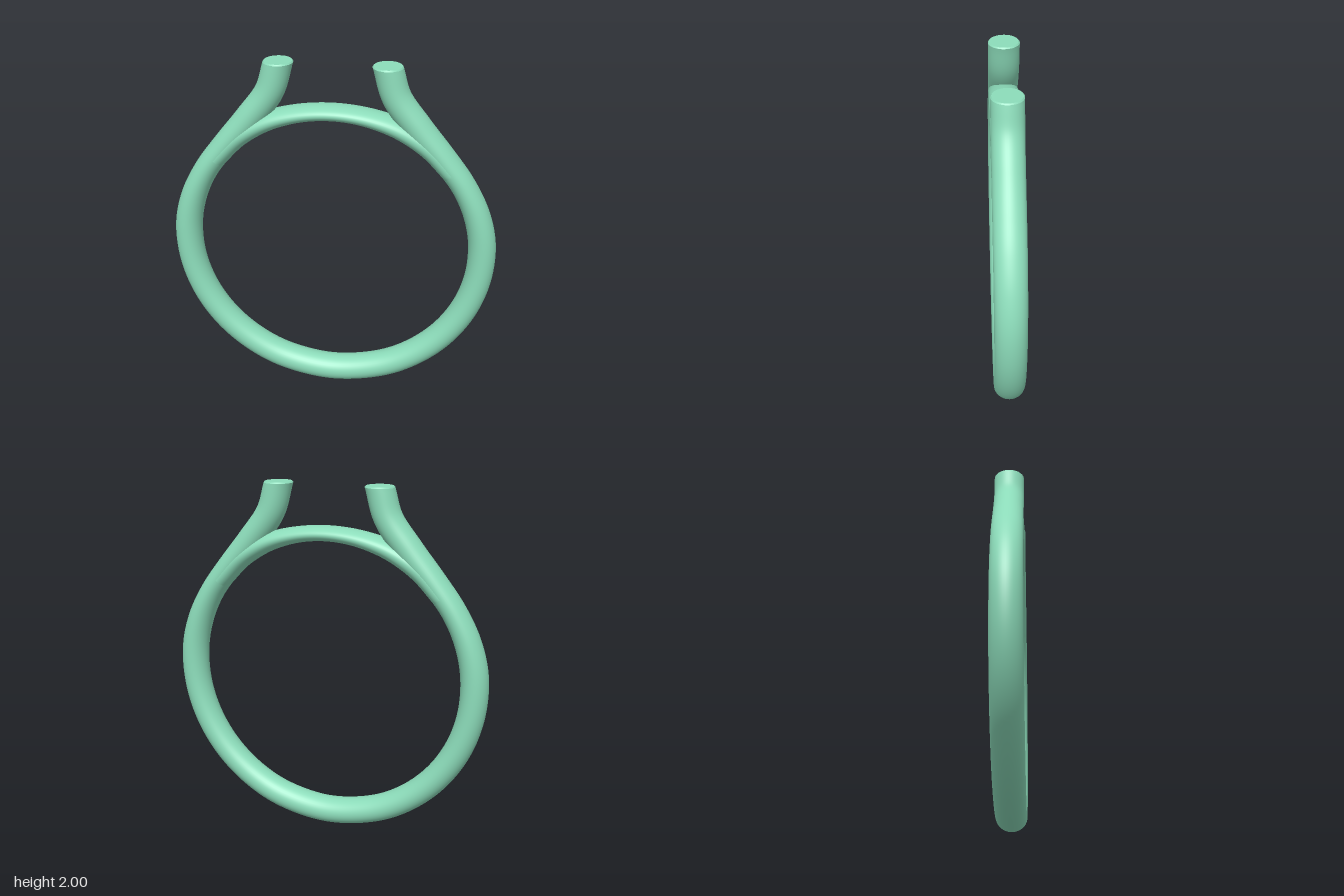
import * as THREE from 'three';

const CENTRE_Y = 0.92; // centre of the ring
const DEPTH = 0.085; // half depth along z of every section
const SIDES = 40;

const polar = (deg, radius, half) => {
  const a = THREE.MathUtils.degToRad(deg);
  return new THREE.Vector3(radius * Math.cos(a), CENTRE_Y + radius * Math.sin(a), half);
};
const mirror = (p) => new THREE.Vector3(-p.x, p.y, p.z);

// Sweeps an ellipse clockwise along a path whose z stores the half thickness.
function sweep(points, steps, levelEnds) {
  const curve = new THREE.CatmullRomCurve3(points, false, 'centripetal');
  const positions = [], index = [];
  for (let i = 0; i <= steps; i++) {
    const u = i / steps;
    const p = curve.getPointAt(u), t = curve.getTangentAt(u);
    const n = new THREE.Vector2(-t.y, t.x).normalize();
    if (levelEnds) {
      // turn the sections level towards the tips
      const w = 1 - THREE.MathUtils.smoothstep(Math.min(u, 1 - u), 0, 0.03);
      n.lerp(new THREE.Vector2(Math.sign(p.x), 0), w).normalize();
    }
    for (let j = 0; j <= SIDES; j++) {
      const a = (j % SIDES) / SIDES * Math.PI * 2;
      const r = p.z * Math.cos(a);
      positions.push(p.x + n.x * r, p.y + n.y * r, DEPTH * Math.sin(a));
      if (i < steps && j < SIDES) {
        const k = i * (SIDES + 1) + j, m = k + SIDES + 1;
        index.push(k, k + 1, m, k + 1, m + 1, m);
      }
    }
  }
  const geo = new THREE.BufferGeometry();
  geo.setAttribute('position', new THREE.Float32BufferAttribute(positions, 3));
  geo.setIndex(index);
  geo.computeVertexNormals();
  // share the normals along the seam
  const nor = geo.attributes.normal;
  for (let i = 0; i <= steps; i++) {
    const a = i * (SIDES + 1), b = a + SIDES;
    const v = new THREE.Vector3().fromBufferAttribute(nor, a)
      .add(new THREE.Vector3().fromBufferAttribute(nor, b)).normalize();
    nor.setXYZ(a, v.x, v.y, v.z);
    nor.setXYZ(b, v.x, v.y, v.z);
  }
  return geo;
}

export function createModel() {
  const group = new THREE.Group();
  const material = new THREE.MeshStandardMaterial({ color: 0x8cdcba });
  const add = (name, geo) => {
    const mesh = new THREE.Mesh(geo, material);
    mesh.name = name;
    group.add(mesh);
    return mesh;
  };

  // Band: round the bottom, tapering at the shoulders, then out into two prongs
  const right = [
    new THREE.Vector3(0.29, 1.993, 0.081),
    new THREE.Vector3(0.34, 1.83, 0.078),
    new THREE.Vector3(0.458, 1.668, 0.077),
    polar(44, 0.836, 0.069),
    polar(31, 0.834, 0.067),
    polar(18, 0.839, 0.072),
  ];
  for (let deg = 5; deg > -85; deg -= 15) right.push(polar(deg, 0.8435, 0.0765));
  const left = right.map(mirror).reverse();
  add('band', sweep([...right, polar(-90, 0.8435, 0.0765), ...left], 240, true));

  // Thin bridge closing the ring between the prongs
  const half = [[38, 0.058], [50, 0.058], [60, 0.054], [68, 0.05], [79, 0.044]]
    .map(([deg, h]) => polar(deg, 0.767 + h, h));
  add('bridge', sweep([...half.map(mirror), polar(90, 0.809, 0.042), ...half.reverse()], 80, false));

  // Flat prong ends with a slightly softened rim
  for (const side of [1, -1]) {
    const rim = add('prongRim', new THREE.CylinderGeometry(0.93, 1, 0.007, SIDES, 1, true));
    rim.scale.set(0.081, 1, DEPTH);
    rim.position.set(side * 0.29, 1.9965, 0);
    const cap = add('prongEnd', new THREE.CircleGeometry(0.93, SIDES).rotateX(-Math.PI / 2));
    cap.scale.set(0.081, 1, DEPTH);
    cap.position.set(side * 0.29, 2, 0);
  }
  return group;
}
